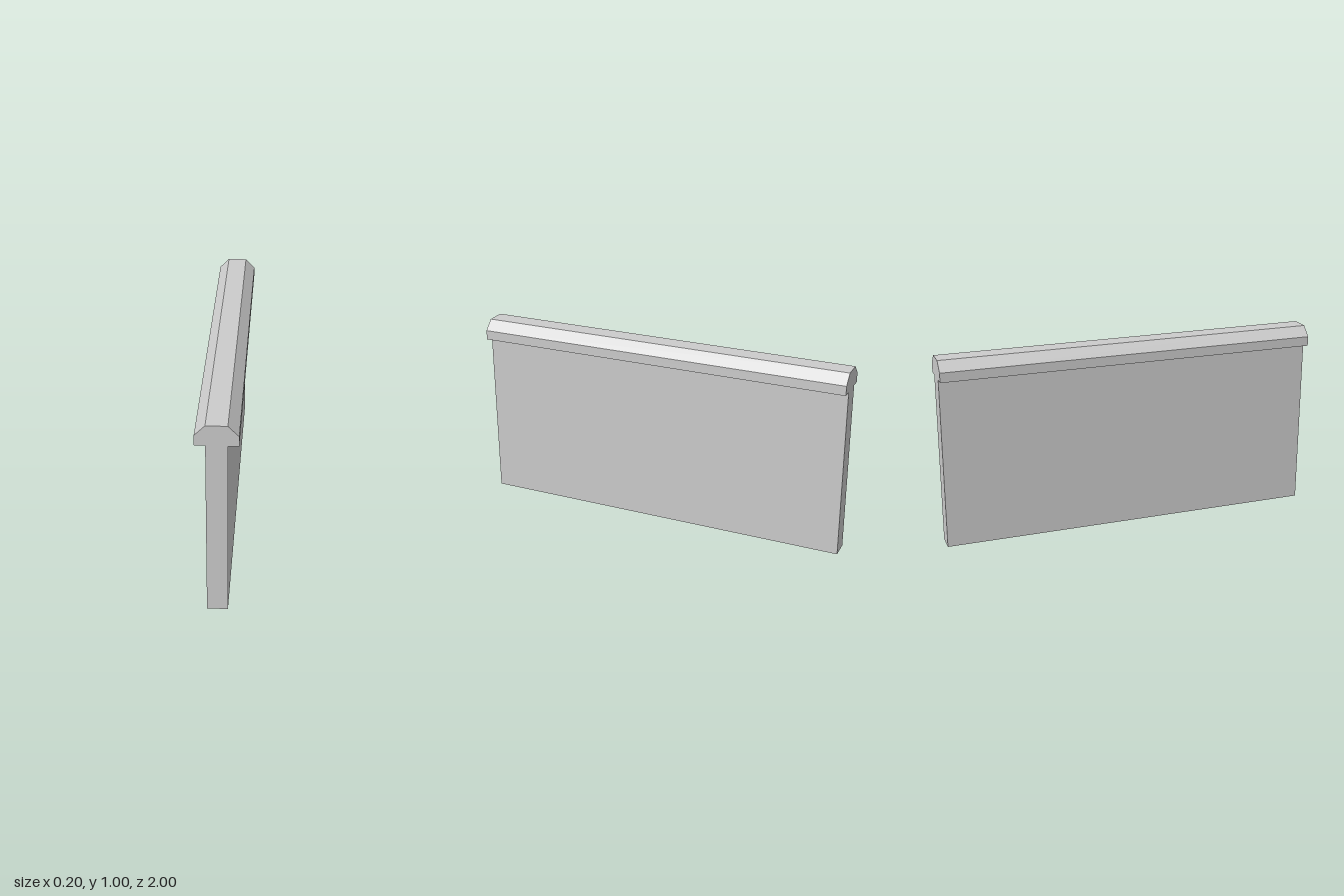
import * as THREE from 'three';

const LENGTH = 2;

export function createModel() {
  const group = new THREE.Group();
  group.name = 'cappedWall';

  // Right half of the cross-section, bottom to top: wall, overhanging cap, chamfer
  const half = [[0.05, 0], [0.05, 0.9], [0.1, 0.9], [0.1, 0.95], [0.05, 1]];
  const mirrored = half.map(([x, y]) => [-x, y]).reverse();
  const profile = new THREE.Shape(
    [...half, ...mirrored].map(([x, y]) => new THREE.Vector2(x, y))
  );

  // Wall and coping as one solid, running along z
  const geometry = new THREE.ExtrudeGeometry(profile, { depth: LENGTH, bevelEnabled: false });
  geometry.translate(0, 0, -LENGTH / 2);

  const material = new THREE.MeshStandardMaterial({ color: 0xcccccc, flatShading: true });
  const wall = new THREE.Mesh(geometry, material);
  wall.name = 'wallWithCoping';
  group.add(wall);

  return group;
}
